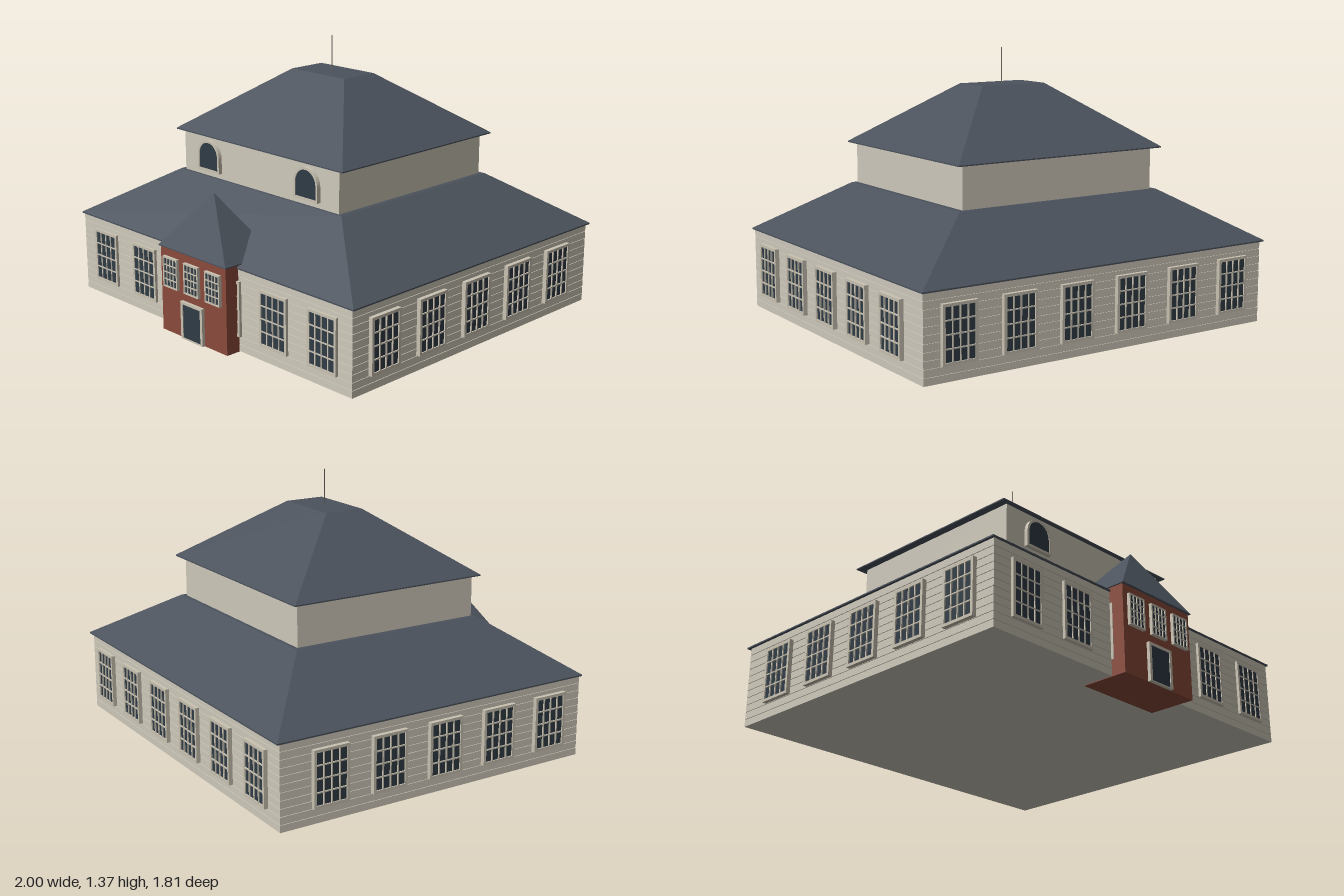
import * as THREE from 'three';

const mat = (color) => new THREE.MeshStandardMaterial({ color, flatShading: true });

export function createModel() {
  const wall = mat(0xcfc9bb), trim = mat(0xc9c2b2), roof = mat(0x4b525c);
  const glass = mat(0x2f3b45), brick = mat(0x8b4a3b), metal = mat(0x6b675f);
  const model = new THREE.Group();
  model.name = 'house';

  const add = (parent, name, geometry, material) => {
    const mesh = new THREE.Mesh(geometry, material);
    mesh.name = name;
    parent.add(mesh);
    return mesh;
  };

  // Box given by its limits
  const block = (name, x0, x1, y0, y1, z0, z1, material, parent = model) => {
    const mesh = add(parent, name, new THREE.BoxGeometry(x1 - x0, y1 - y0, z1 - z0), material);
    mesh.position.set((x0 + x1) / 2, (y0 + y1) / 2, (z0 + z1) / 2);
    return mesh;
  };

  // Closed hipped roof through rectangles [halfX, y, zBack, zFront], bottom to top
  const hipRoof = (name, rects) => {
    const rings = rects.map(([hx, y, zb, zf]) => [[-hx, y, zf], [hx, y, zf], [hx, y, zb], [-hx, y, zb]]);
    const pos = [];
    const quad = (a, b, c, d) => pos.push(...a, ...b, ...c, ...a, ...c, ...d);
    for (let i = 0; i < rings.length - 1; i++) {
      for (let k = 0; k < 4; k++) {
        const n = (k + 1) % 4;
        quad(rings[i][k], rings[i][n], rings[i + 1][n], rings[i + 1][k]);
      }
    }
    const [a, b, c, d] = rings[0];
    quad(d, c, b, a);
    quad(...rings[rings.length - 1]);
    const g = new THREE.BufferGeometry();
    g.setAttribute('position', new THREE.Float32BufferAttribute(pos, 3));
    g.computeVertexNormals();
    return add(model, name, g, roof);
  };

  const rectPath = (path, x0, y0, x1, y1) => {
    path.moveTo(x0, y0);
    path.lineTo(x1, y0);
    path.lineTo(x1, y1);
    path.lineTo(x0, y1);
    path.closePath();
    return path;
  };
  const extrude = (shape, depth) =>
    new THREE.ExtrudeGeometry(shape, { depth, bevelEnabled: false, curveSegments: 10 });

  // Window with muntins; origin at the sill centre on the wall plane, facing +z
  const makeWindow = (name, w, h, cols, rows, depth, border = 0.014, bar = 0.006) => {
    const group = new THREE.Group();
    group.name = name;
    const frame = rectPath(new THREE.Shape(), -w / 2, 0, w / 2, h);
    const pw = (w - 2 * border - (cols - 1) * bar) / cols;
    const ph = (h - 2 * border - (rows - 1) * bar) / rows;
    for (let i = 0; i < cols; i++) {
      for (let j = 0; j < rows; j++) {
        const x = -w / 2 + border + i * (pw + bar), y = border + j * (ph + bar);
        frame.holes.push(rectPath(new THREE.Path(), x, y, x + pw, y + ph));
      }
    }
    add(group, 'windowFrame', extrude(frame, depth), trim);
    block('windowGlass', -w / 2 + 0.005, w / 2 - 0.005, 0.005, h - 0.005, 0, depth * 0.7, glass, group);
    model.add(group);
    return group;
  };

  // Arched outline used for both frame and glass
  const archPath = (path, w, y0, h) => {
    const r = w / 2;
    path.moveTo(-r, y0);
    path.lineTo(r, y0);
    path.lineTo(r, h - r);
    path.absarc(0, h - r, r, 0, Math.PI, false);
    path.closePath();
    return path;
  };

  // Ground floor: core and overlapping siding boards
  const W = 0.978, ZB = -0.888, ZF = 0.813, boards = 11, top = 0.415;
  block('groundFloorCore', -W + 0.004, W - 0.004, 0.003, top, ZB + 0.004, ZF - 0.004, wall);
  const pitch = (top - 0.003) / boards;
  for (let i = 0; i < boards; i++) {
    const y = 0.003 + i * pitch;
    block('sidingBoard', -W, W, y, y + pitch - 0.003, ZB, ZF, wall);
  }

  // Front and back windows
  for (let i = 0; i < 6; i++) {
    const x = -0.785 + i * 0.317;
    makeWindow('frontWindow', 0.182, 0.275, 4, 4, 0.014).position.set(x, 0.08, ZF);
    const back = makeWindow('backWindow', 0.182, 0.275, 4, 4, 0.02);
    back.position.set(x, 0.08, ZB);
    back.rotation.y = Math.PI;
  }
  // Side windows
  for (const s of [-1, 1]) {
    for (let i = 0; i < 5; i++) {
      const side = makeWindow(s > 0 ? 'leftWindow' : 'rightWindow', 0.186, 0.275, 4, 4, 0.022);
      side.position.set(s * W, 0.08, 0.618 - i * 0.313);
      side.rotation.y = s * Math.PI / 2;
    }
  }

  // Lower roof, upper storey, upper roof and pole
  hipRoof('lowerRoof', [[0.99, 0.413, -0.905, 0.82], [0.99, 0.42, -0.905, 0.82], [0.58, 0.67, -0.555, 0.48]]);
  block('upperStorey', -0.554, 0.554, 0.66, 0.885, -0.537, 0.468, wall);
  hipRoof('upperRoof', [[0.595, 0.878, -0.573, 0.49], [0.595, 0.884, -0.573, 0.49], [0.185, 1.19, -0.143, 0.063]]);
  add(model, 'roofPole', new THREE.CylinderGeometry(0.003, 0.003, 0.18, 8), metal).position.set(0, 1.28, -0.037);

  // Arched windows of the upper storey
  for (const x of [-0.353, 0.349]) {
    const group = new THREE.Group();
    group.name = 'archedWindow';
    const frame = archPath(new THREE.Shape(), 0.162, 0, 0.16);
    frame.holes.push(archPath(new THREE.Path(), 0.138, 0.012, 0.148));
    add(group, 'archedFrame', extrude(frame, 0.02), trim);
    add(group, 'archedGlass', extrude(archPath(new THREE.Shape(), 0.15, 0.006, 0.154), 0.016), glass);
    group.position.set(x, 0.698, 0.468);
    model.add(group);
  }

  // Brick entrance porch with pyramid roof
  const PZ = 0.889;
  block('porch', -0.24, 0.238, 0, 0.437, 0.65, PZ, brick);
  hipRoof('porchRoof', [[0.247, 0.432, 0.595, 0.898], [0.247, 0.437, 0.595, 0.898], [0.0005, 0.715, 0.749, 0.75]]);
  for (const x of [-0.157, -0.002, 0.153]) {
    makeWindow('porchWindow', 0.106, 0.155, 4, 4, 0.016, 0.008, 0.005).position.set(x, 0.235, PZ);
  }

  // Front door
  const door = new THREE.Group();
  door.name = 'frontDoor';
  const doorFrame = rectPath(new THREE.Shape(), -0.08, 0, 0.08, 0.19);
  doorFrame.holes.push(rectPath(new THREE.Path(), -0.064, 0.006, 0.064, 0.177));
  add(door, 'doorFrame', extrude(doorFrame, 0.016), trim);
  block('doorPanel', -0.07, 0.07, 0.003, 0.182, 0, 0.012, glass, door);
  door.position.set(-0.003, 0.001, PZ);
  model.add(door);

  return model;
}
